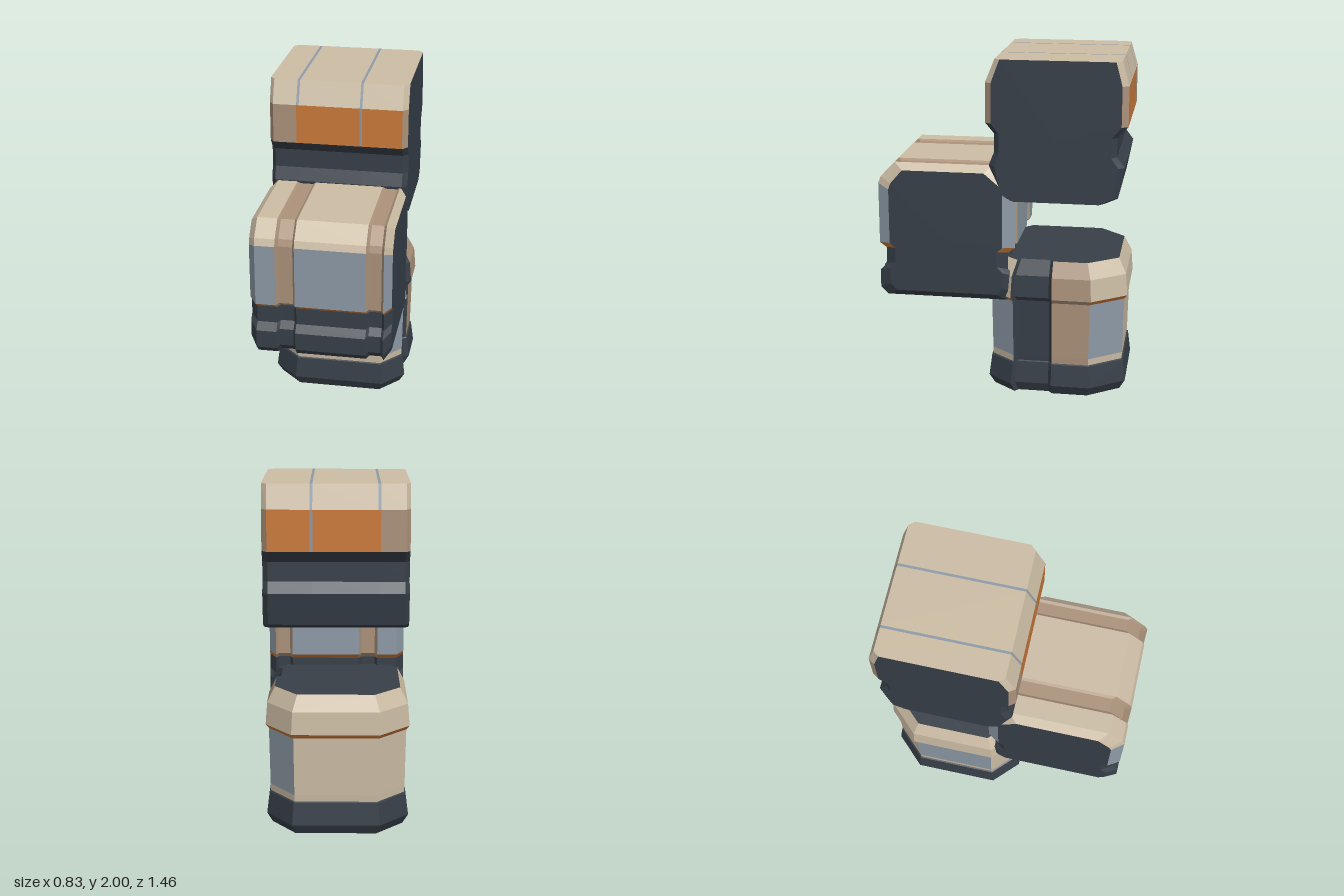
import * as THREE from 'three';

const make = (name, color) => Object.assign(new THREE.MeshStandardMaterial({ color }), { name });

export function createModel() {
  const mats = {
    tan: make('tan', 0xcbbca4),
    brown: make('brown', 0xab927b),
    dark: make('charcoal', 0x373f48),
    blue: make('blueGrey', 0x8d9aa6),
    orange: make('orange', 0xcb7a3a),
  };

  // Loft rings of [x, y, z] points, flat faced, one mesh per colour
  function loft(name, rings, colorOf, capColor = 'dark') {
    const pos = {};
    const tri = (color, ...pts) => (pos[color] ??= []).push(...pts.flat());
    for (let i = 0; i < rings.length - 1; i++) {
      const n = rings[i].length;
      for (let j = 0; j < n; j++) {
        const k = (j + 1) % n;
        const a = rings[i][j], b = rings[i][k], c = rings[i + 1][k], d = rings[i + 1][j];
        const color = colorOf(i, j);
        tri(color, a, b, c);
        tri(color, a, c, d);
      }
    }
    // End caps as fans around the ring's middle
    const cap = (ring, flip) => {
      const mid = [0, 1, 2].map((q) => ring.reduce((s, p) => s + p[q], 0) / ring.length);
      ring.forEach((p, j) => {
        const q = ring[(j + 1) % ring.length];
        if (flip) tri(capColor, mid, q, p);
        else tri(capColor, mid, p, q);
      });
    };
    cap(rings[0], true);
    cap(rings[rings.length - 1], false);

    const group = new THREE.Group();
    group.name = name;
    for (const color in pos) {
      const g = new THREE.BufferGeometry();
      g.setAttribute('position', new THREE.Float32BufferAttribute(pos[color], 3));
      g.computeVertexNormals();
      const mesh = new THREE.Mesh(g, mats[color]);
      mesh.name = name + ' ' + mats[color].name;
      group.add(mesh);
    }
    return group;
  }

  // Place a [z, y] profile at stations [x, scaleZ, scaleY] about its centre
  const alongX = (profile, stations, cz, cy) => stations.map(([x, sz, sy]) =>
    profile.map(([z, y]) => [x, cy + (y - cy) * sy, cz + (z - cz) * sz]));

  const model = new THREE.Group();
  model.name = 'stackedModules';

  // Upper block: tan lid with seams, orange band, dark grooved underside
  const upper = [
    [-0.68, 2, 'tan'], [0.035, 2, 'tan'], [0.09, 1.865, 'band'], [0.09, 1.635, 'dark'],
    [0.04, 1.575, 'dark'], [0.04, 1.465, 'dark'], [0.07, 1.39, 'dark'], [0.03, 1.225, 'dark'],
    [-0.05, 1.185, 'dark'], [-0.59, 1.185, 'dark'], [-0.67, 1.22, 'dark'], [-0.705, 1.4, 'dark'],
    [-0.66, 1.46, 'dark'], [-0.66, 1.57, 'dark'], [-0.72, 1.635, 'band'], [-0.72, 1.865, 'tan'],
  ];
  const upperX = [
    [-0.4, 0.91, 1], [-0.375, 1, 1], [-0.238, 1, 1], [-0.223, 1, 1],
    [0.132, 1, 1], [0.147, 1, 1], [0.38, 1, 1], [0.41, 0.91, 1],
  ];
  model.add(loft('upperBlock', alongX(upper, upperX, -0.315, 1.6), (i, j) => {
    const c = upper[j][2];
    if (c === 'dark') return c;
    const seam = i === 2 || i === 4;
    if (c === 'tan') return seam ? 'blue' : 'tan';
    if (i < 2 || i === 6) return 'brown';
    return i === 4 ? 'blue' : 'orange';
  }));

  // Middle block: tan top, blue-grey panels, brown strap grooves, dark foot
  const middle = [
    [0.05, 1.385, 'tan'], [0.625, 1.385, 'tan'], [0.71, 1.295, 'tan'], [0.725, 1.255, 'blue'],
    [0.725, 0.895, 'orange'], [0.685, 0.865, 'dark'], [0.685, 0.765, 'dark'], [0.725, 0.725, 'dark'],
    [0.725, 0.62, 'dark'], [0.68, 0.575, 'dark'], [-0.035, 0.575, 'dark'], [-0.08, 0.62, 'dark'],
    [-0.08, 0.725, 'dark'], [-0.04, 0.765, 'dark'], [-0.04, 0.865, 'orange'], [-0.08, 0.895, 'blue'],
    [-0.08, 1.255, 'tan'], [-0.065, 1.295, 'tan'],
  ];
  const gz = 0.93, gy = 0.975;
  const middleX = [
    [-0.4, 0.83, 0.9], [-0.355, 1, 1],
    [-0.24, 1, 1], [-0.225, gz, gy], [-0.145, gz, gy], [-0.13, 1, 1],
    [0.27, 1, 1], [0.285, gz, gy], [0.355, gz, gy], [0.37, 1, 1],
    [0.41, 0.83, 0.9],
  ];
  model.add(loft('middleBlock', alongX(middle, middleX, 0.3225, 0.98), (i, j) => {
    const c = middle[j][2];
    const groove = (i >= 2 && i <= 4) || (i >= 6 && i <= 8);
    return groove && c !== 'dark' ? 'brown' : c;
  }));

  // Lower block: eight-sided plan [x, z, panel colour] with a dark channel on one side
  const plan = [
    [-0.26, 0.08, 'tan'], [0.28, 0.08, 'blue'], [0.4, -0.065, 'dark'], [0.37, -0.085, 'dark'],
    [0.37, -0.28, 'dark'], [0.4, -0.3, 'brown'], [0.4, -0.525, 'blue'], [0.25, -0.72, 'tan'],
    [-0.24, -0.72, 'tan'], [-0.405, -0.55, 'blue'], [-0.405, -0.06, 'tan'],
  ];
  // Levels as [y, scale]: foot, body, lip, collar
  const levels = [
    [0, 0.94], [0.06, 1.02], [0.19, 0.98], [0.195, 0.96], [0.235, 0.965],
    [0.575, 0.98], [0.6, 1.025], [0.73, 1], [0.82, 0.89],
  ];
  const lowerRings = levels.map(([y, s]) =>
    plan.map(([x, z]) => [x * s, y, -0.32 + (z + 0.32) * s]));
  model.add(loft('lowerBlock', lowerRings, (i, j) => {
    const c = plan[j][2];
    if (i < 3 || c === 'dark') return 'dark';
    if (c === 'brown' || i === 4) return c;
    return i === 5 ? 'orange' : 'tan';
  }));

  return model;
}
